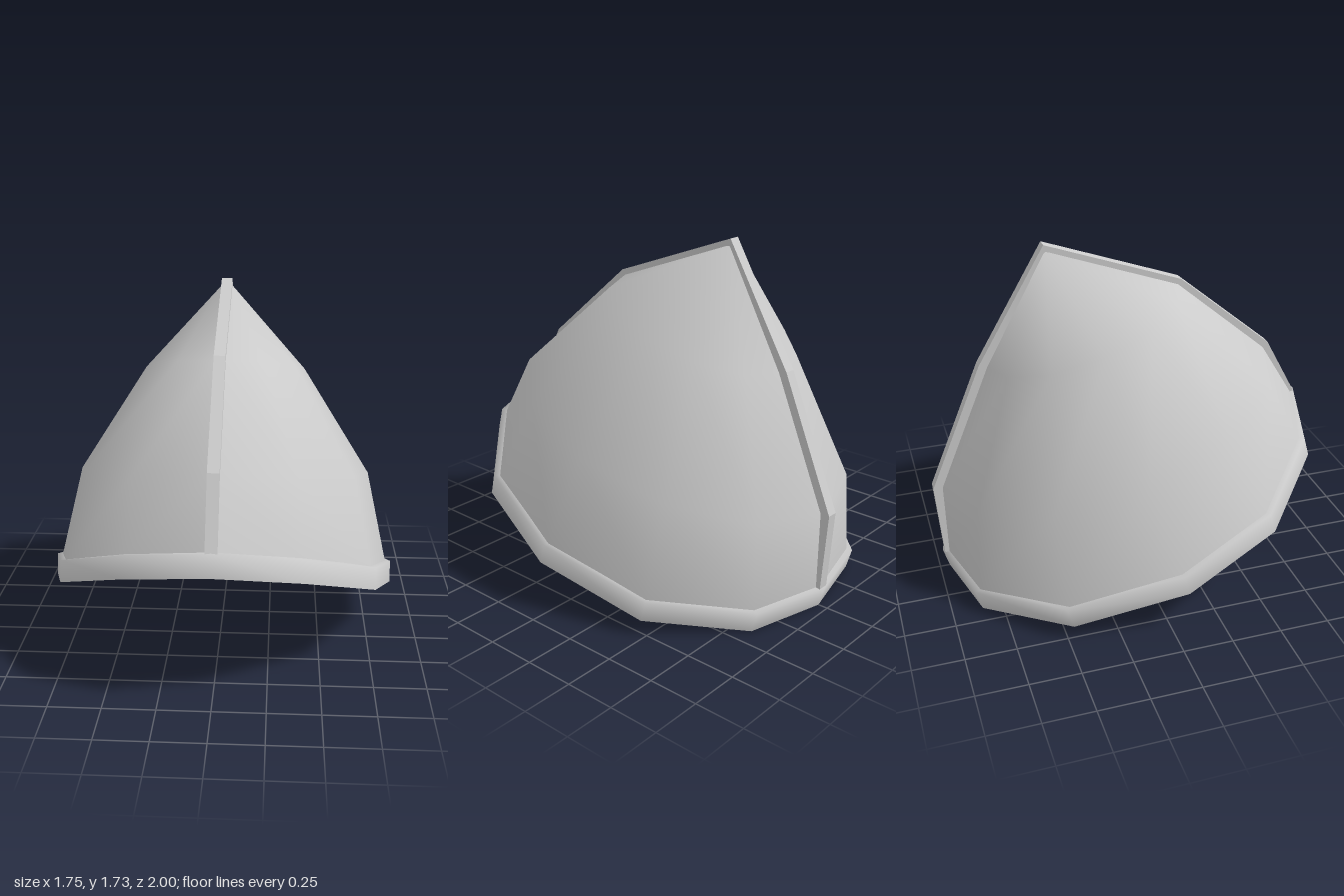
import * as THREE from 'three';
import { mergeVertices } from 'three/addons/utils/BufferGeometryUtils.js';

const material = new THREE.MeshStandardMaterial({ color: 0xcccccc });
const thin = new THREE.MeshStandardMaterial({ color: 0xcccccc, side: THREE.DoubleSide });
const HALF = 0.028; // half width of the crest

// Smooth surface through rows of points; flip turns the faces around
function skin(rows, flip = false) {
  const cols = rows[0].length, idx = [];
  for (let i = 0; i + 1 < rows.length; i++) {
    for (let j = 0; j + 1 < cols; j++) {
      const a = i * cols + j, b = a + 1, c = a + cols, d = c + 1;
      if (flip) idx.push(a, c, b, b, c, d);
      else idx.push(a, b, c, b, d, c);
    }
  }
  let g = new THREE.BufferGeometry();
  g.setAttribute('position', new THREE.Float32BufferAttribute(rows.flat(2), 3));
  g.setIndex(idx);
  g = mergeVertices(g, 1e-5);
  g.computeVertexNormals();
  return g;
}

function add(group, geometry, name, mat = material) {
  const mesh = new THREE.Mesh(geometry, mat);
  mesh.name = name;
  group.add(mesh);
}

// Half outline of the rim's lower outer edge, front to back
const rimHalf = [
  [0, 0.66, 1.0], [0.41, 0.59, 0.88], [0.757, 0.41, 0.55], [0.875, 0.23, 0.07],
  [0.757, 0.07, -0.47], [0.41, 0.005, -0.85], [0, 0, -0.95],
];
const raise = ([x, y, z]) => [x, y + 0.103, z - 0.03];
const inset = (k, dy) => ([x, y, z]) => [x * k, y + dy * z, (z - 0.02) * k + 0.02];
const mirror = ([x, y, z]) => [-x, y, z];
const besideCrest = ([x, y, z]) => [Math.max(x, HALF * 0.8), y, z];

// Half ring of the dome: an ellipse between a front and a back point [z, y]
function halfRing(width, front, back) {
  const row = [];
  for (let j = 0; j <= 6; j++) {
    const a = (j * Math.PI) / 6, t = (1 - Math.cos(a)) / 2;
    row.push(besideCrest([
      width * Math.sin(a),
      front[1] + (back[1] - front[1]) * t,
      front[0] + (back[0] - front[0]) * t,
    ]));
  }
  return row;
}

export function createModel() {
  const model = new THREE.Group();

  // Rim: a boxy cross-section, rounded over its top outer edge
  const rim = new THREE.Group();
  rim.name = 'rim';
  const lowOut = [...rimHalf, ...rimHalf.slice(0, -1).reverse().map(mirror)];
  const topOut = lowOut.map(raise);
  const lowIn = lowOut.map(inset(0.93, -0.02)), topIn = topOut.map(inset(0.93, -0.01));
  add(rim, skin([lowOut, topOut, topIn]), 'rimOutside');
  add(rim, skin([topIn, lowIn]), 'rimInside');
  add(rim, skin([lowIn, lowOut]), 'rimUnderside');
  model.add(rim);

  // Dome: two thin faceted halves rising from the rim to the peak
  const half = [
    rimHalf.map(raise).map(inset(0.97, -0.005)).map(besideCrest),
    halfRing(0.75, [0.765, 1.045], [-0.955, 0.5]),
    halfRing(0.41, [0.285, 1.455], [-0.69, 1.14]),
    halfRing(0, [-0.385, 1.7], [-0.385, 1.7]),
  ];
  add(model, skin(half), 'leftPanel', thin);
  add(model, skin(half.map((row) => row.map(mirror)), true), 'rightPanel', thin);

  // Crest: flat band over the middle, from the front rim to the back rim
  const crest = new THREE.Shape([
    [0.965, 0.75], [0.79, 1.07], [0.3, 1.48], [-0.39, 1.73], [-0.73, 1.15],
    [-1.0, 0.5], [-0.97, 0.1], [-0.91, 0.1], [-0.93, 0.5], [-0.665, 1.13],
    [-0.375, 1.66], [0.27, 1.43], [0.74, 1.025], [0.91, 0.735],
  ].map(([z, y]) => new THREE.Vector2(z, y)));
  const band = new THREE.ExtrudeGeometry(crest, { depth: HALF * 2, bevelEnabled: false });
  band.rotateY(-Math.PI / 2);
  band.translate(HALF, 0, 0);
  add(model, band, 'crest');

  return model;
}
